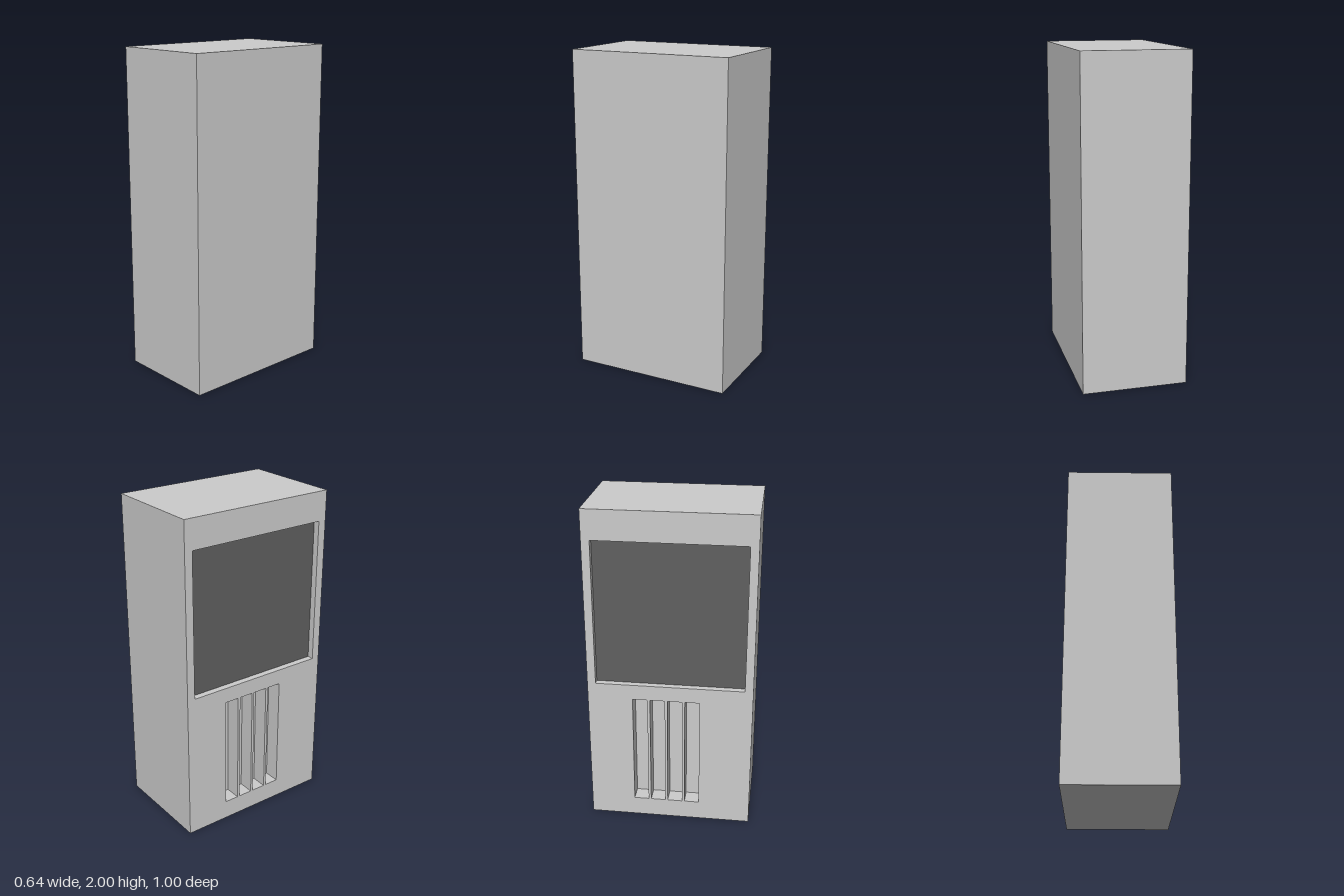
import * as THREE from 'three';

const WIDTH = 0.64, HEIGHT = 2, DEPTH = 1;
const SKIN = 0.1; // thickness of the pierced side panel

// Rectangle with corners (z0, y0) and (z1, y1)
function rect(Type, z0, y0, z1, y1) {
  return new Type([[z0, y0], [z1, y0], [z1, y1], [z0, y1]].map(([z, y]) => new THREE.Vector2(z, y)));
}

export function createModel() {
  const group = new THREE.Group();
  const grey = new THREE.MeshStandardMaterial({ color: 0xcccccc });
  const dark = new THREE.MeshStandardMaterial({ color: 0x606060 });

  const add = (name, geometry, material, x, y, z) => {
    const mesh = new THREE.Mesh(geometry, material);
    mesh.name = name;
    mesh.position.set(x, y, z);
    group.add(mesh);
    return mesh;
  };

  // Solid cabinet behind the pierced panel
  add('cabinet', new THREE.BoxGeometry(WIDTH - SKIN, HEIGHT, DEPTH), grey, SKIN / 2, HEIGHT / 2, 0);

  // Side panel with a large window and four upright vent slots
  const panel = rect(THREE.Shape, -DEPTH / 2, 0, DEPTH / 2, HEIGHT);
  const win = { z0: -0.45, y0: 0.925, z1: 0.45, y1: 1.82 };
  panel.holes.push(rect(THREE.Path, win.z0, win.y0, win.z1, win.y1));
  const slotWidth = 0.09, slotPitch = 0.106;
  for (let i = 0; i < 4; i++) {
    const z = -0.226 + i * slotPitch;
    panel.holes.push(rect(THREE.Path, z, 0.12, z + slotWidth, 0.83));
  }
  const panelGeometry = new THREE.ExtrudeGeometry(panel, { depth: SKIN, bevelEnabled: false });
  panelGeometry.rotateY(-Math.PI / 2);
  add('ventedSidePanel', panelGeometry, grey, -WIDTH / 2 + SKIN, 0, 0);

  // Dark pane sunk into the window
  const sink = 0.04, thick = SKIN - sink;
  add('darkPane', new THREE.BoxGeometry(thick, win.y1 - win.y0, win.z1 - win.z0), dark,
    -WIDTH / 2 + sink + thick / 2, (win.y0 + win.y1) / 2, 0);

  return group;
}
